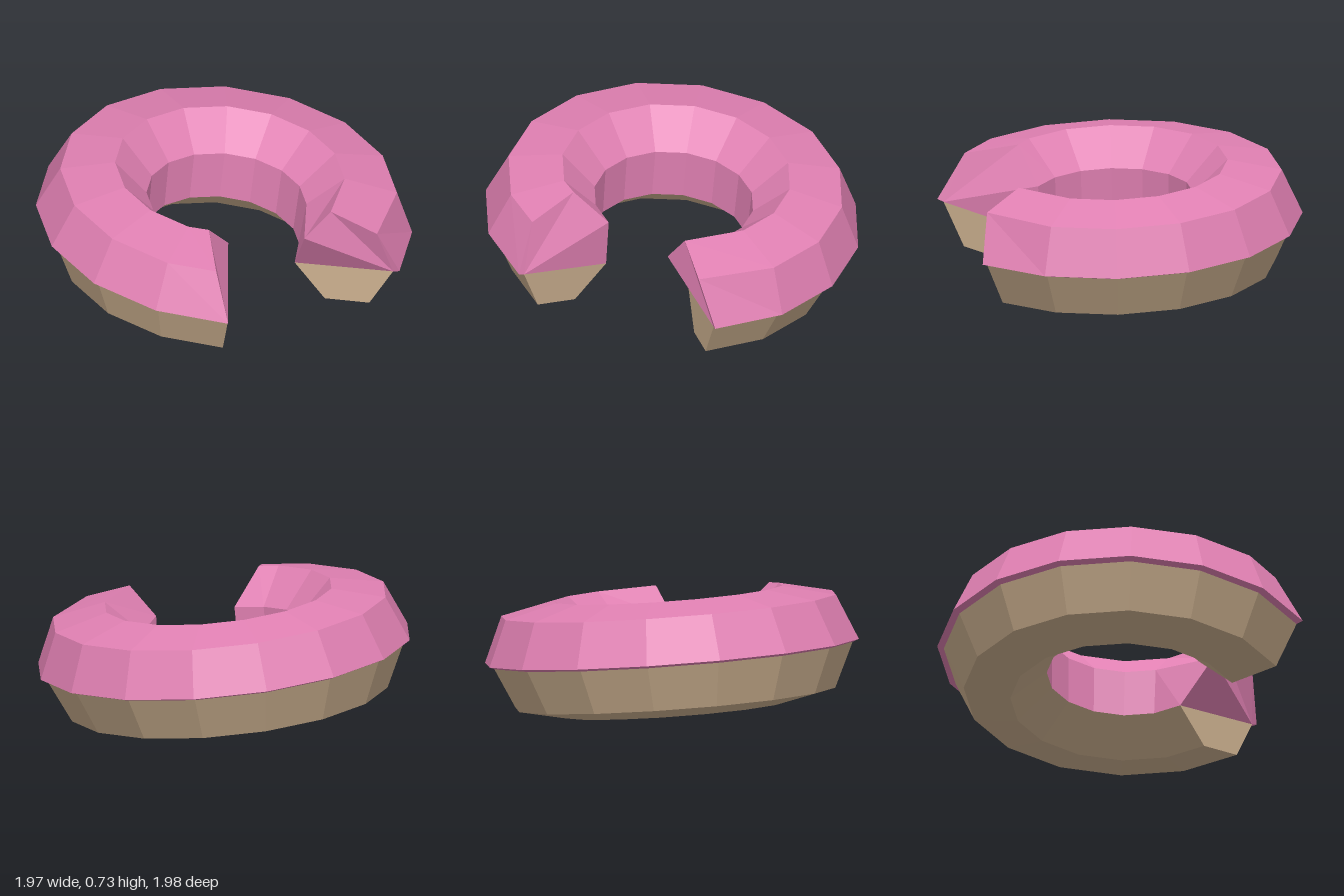
import * as THREE from 'three';

const SIDES = 16, SEGMENTS = 13;         // a full ring has 16 sides; 3 are bitten away
const START = THREE.MathUtils.degToRad(98.6);
const MID = 0.3625;                      // height of the seam, pivot of the tilt

// Cross-sections as [radius, height], counter-clockwise
const icingProfile = [
  [0.965, 0.352], [1.0, 0.365], [0.895, 0.607], [0.61, 0.672], [0.425, 0.495], [0.418, 0.225],
];
const doughProfile = [
  [0.418, 0.225], [0.607, 0.06], [0.855, 0.115], [0.965, 0.352],
];

// Icing corners pushed back or forward at the two bitten ends: index -> [x, z]
const startBite = { 2: [-0.215, 0.85], 3: [-0.21, 0.555] };
const endBite = { 2: [0.71, 0.52], 3: [0.475, 0.4], 4: [0.352, 0.39] };

// Sweep a profile round the open ring and close both ends
function sweep(profile, first = {}, last = {}) {
  const sections = [];
  for (let i = 0; i <= SEGMENTS; i++) {
    const a = START + (i * Math.PI * 2) / SIDES;
    const moved = i === 0 ? first : i === SEGMENTS ? last : {};
    sections.push(profile.map(([r, h], j) => {
      const [x, z] = moved[j] || [r * Math.cos(a), r * Math.sin(a)];
      return [x, h - MID, z];
    }));
  }

  const positions = [];
  const tri = (a, b, c) => positions.push(...a, ...b, ...c);
  for (let i = 0; i < SEGMENTS; i++) {
    const s = sections[i], t = sections[i + 1];
    for (let j = 0; j < profile.length - 1; j++) {
      tri(s[j], s[j + 1], t[j + 1]);
      tri(s[j], t[j + 1], t[j]);
    }
  }

  // End faces
  const s = sections[0], t = sections[SEGMENTS];
  for (let j = 1; j < profile.length - 1; j++) {
    tri(s[0], s[j + 1], s[j]);
    tri(t[0], t[j], t[j + 1]);
  }

  const geometry = new THREE.BufferGeometry();
  geometry.setAttribute('position', new THREE.Float32BufferAttribute(positions, 3));
  geometry.computeVertexNormals();
  return geometry;
}

function part(name, geometry, color) {
  const mesh = new THREE.Mesh(geometry, new THREE.MeshStandardMaterial({ color, flatShading: true }));
  mesh.name = name;
  return mesh;
}

export function createModel() {
  const model = new THREE.Group();
  model.name = 'bittenDoughnut';

  // The ring leans slightly to one side
  const ring = new THREE.Group();
  ring.name = 'ring';
  ring.position.y = MID;
  ring.rotation.z = -0.102;
  ring.add(
    part('icing', sweep(icingProfile, startBite, endBite), 0xe080b2),
    part('dough', sweep(doughProfile), 0xccb08f),
  );
  model.add(ring);
  return model;
}
